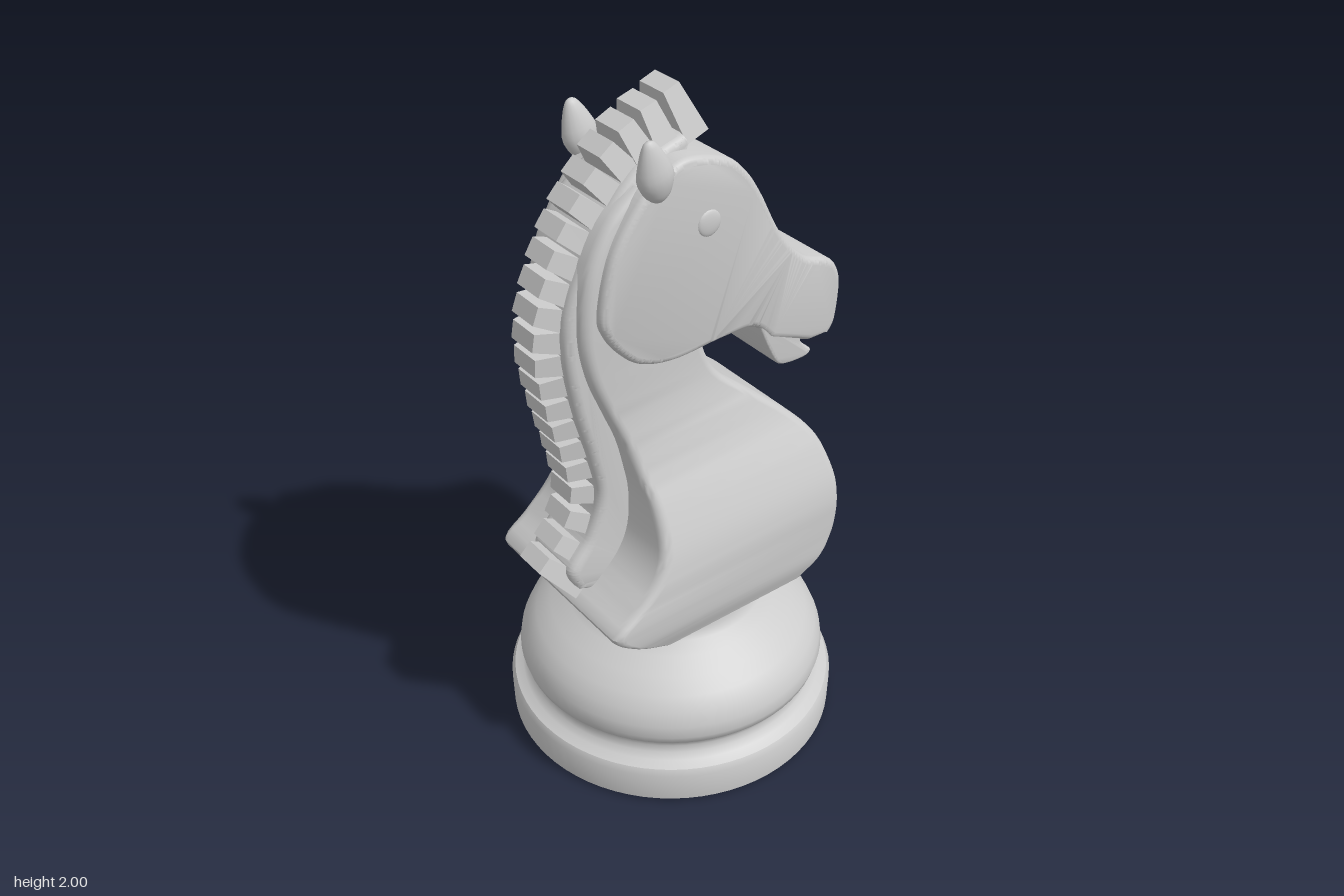
import * as THREE from 'three';
import { toCreasedNormals } from 'three/addons/utils/BufferGeometryUtils.js';

const material = new THREE.MeshStandardMaterial({ color: 0xcccccc });
const v2 = ([x, y]) => new THREE.Vector2(x, y);

function addMesh(parent, name, geometry) {
  const mesh = new THREE.Mesh(geometry, material);
  mesh.name = name;
  parent.add(mesh);
  return mesh;
}

// Rounded slab: side outline in x/y, centred on z = 0
function slab(shape, halfWidth, bevel) {
  const geometry = new THREE.ExtrudeGeometry(shape, {
    depth: 2 * (halfWidth - bevel), curveSegments: 48,
    bevelThickness: bevel, bevelSize: bevel, bevelOffset: -bevel, bevelSegments: 4,
  });
  geometry.translate(0, 0, bevel - halfWidth);
  return toCreasedNormals(geometry, 0.7);
}

// Rounded rectangle ring in the x/z plane
function ring(back, front, half, y, radius) {
  const points = [];
  const corners = [[front, half], [back, half], [back, -half], [front, -half]];
  corners.forEach(([x, z], c) => {
    const cx = x + (x === front ? -radius : radius);
    const cz = z - Math.sign(z) * radius;
    for (let i = 0; i <= 5; i++) {
      const a = (c + i / 5) * Math.PI / 2;
      points.push([cx + radius * Math.cos(a), y, cz + radius * Math.sin(a)]);
    }
  });
  return points;
}

// Skin over rings listed from bottom to top, closed at both ends
function loft(rings) {
  const close = (r) => {
    const x = (Math.min(...r.map((p) => p[0])) + Math.max(...r.map((p) => p[0]))) / 2;
    return r.map((p) => [x, p[1], 0]);
  };
  const rows = [close(rings[0]), ...rings, close(rings[rings.length - 1])];
  const n = rows[0].length;
  const index = [];
  for (let i = 0; i < rows.length - 1; i++) {
    for (let j = 0; j < n; j++) {
      const a = i * n + j, b = i * n + (j + 1) % n;
      index.push(a, a + n, b, b, a + n, b + n);
    }
  }
  const geometry = new THREE.BufferGeometry();
  geometry.setAttribute('position', new THREE.Float32BufferAttribute(rows.flat(2), 3));
  geometry.setIndex(index);
  return toCreasedNormals(geometry, 0.7);
}

function buildBase(parent) {
  const profile = [[0, 0], [0.48, 0], [0.488, 0.008], [0.49, 0.1], [0.48, 0.118], [0.455, 0.13],
    [0.438, 0.145], [0.432, 0.165], [0.436, 0.182], [0.45, 0.195], [0.457, 0.22], [0.452, 0.255],
    [0.435, 0.295], [0.405, 0.33], [0.36, 0.365], [0.31, 0.395], [0.275, 0.42], [0.26, 0.445],
    [0.26, 0.49], [0, 0.49]];
  addMesh(parent, 'base', toCreasedNormals(new THREE.LatheGeometry(profile.map(v2), 72), 0.6));
}

// Chest and neck: height, back, front, half width
function buildNeck(parent) {
  const sections = [
    [0.48, -0.24, 0.28, 0.28], [0.53, -0.34, 0.345, 0.29], [0.59, -0.4, 0.38, 0.29],
    [0.65, -0.33, 0.395, 0.29], [0.72, -0.26, 0.398, 0.288], [0.8, -0.225, 0.393, 0.27],
    [0.91, -0.22, 0.36, 0.225], [1.0, -0.235, 0.285, 0.182], [1.1, -0.26, 0.17, 0.152],
    [1.2, -0.3, 0.06, 0.135], [1.32, -0.345, 0.01, 0.13], [1.45, -0.365, 0, 0.13],
    [1.6, -0.345, 0, 0.13], [1.72, -0.28, 0, 0.125], [1.8, -0.19, -0.02, 0.12]];
  const backs = new THREE.CatmullRomCurve3(
    sections.map(([y, b, , w]) => new THREE.Vector3(b, y, w)), false, 'catmullrom');
  const fronts = new THREE.CatmullRomCurve3(
    sections.map(([y, , f]) => new THREE.Vector3(f, y, 0)), false, 'catmullrom');
  const rings = [];
  for (let i = 0; i <= 56; i++) {
    const b = backs.getPoint(i / 56), f = fronts.getPoint(i / 56);
    rings.push(ring(b.x, f.x, b.z, b.y, 0.03));
  }
  addMesh(parent, 'neck', loft(rings));
}

function buildHead(parent) {
  const head = new THREE.Shape();
  head.moveTo(0.3, 1.215);
  head.lineTo(0.365, 1.19);
  head.lineTo(0.435, 1.19);
  head.splineThru([[0.458, 1.23], [0.467, 1.34], [0.448, 1.4], [0.41, 1.432], [0.33, 1.465],
    [0.245, 1.56], [0.175, 1.69], [0.125, 1.765], [0.06, 1.82], [-0.06, 1.852], [-0.14, 1.825],
    [-0.21, 1.77], [-0.29, 1.65], [-0.325, 1.51], [-0.31, 1.44], [-0.26, 1.37], [-0.2, 1.325],
    [-0.1, 1.302], [0.06, 1.31], [0.16, 1.305], [0.22, 1.25]].map(v2));
  addMesh(parent, 'head', slab(head, 0.157, 0.02));

  const lip = new THREE.Shape();
  lip.moveTo(0.18, 1.3);
  lip.splineThru([[0.215, 1.22], [0.25, 1.16], [0.29, 1.143], [0.355, 1.142], [0.374, 1.158],
    [0.355, 1.175], [0.335, 1.2], [0.335, 1.225]].map(v2));
  lip.lineTo(0.28, 1.3);
  addMesh(parent, 'lowerLip', slab(lip, 0.152, 0.01));

  const earProfile = [[0, 0], [0.032, 0.025], [0.05, 0.075], [0.036, 0.13], [0.016, 0.17], [0, 0.178]];
  const earCurve = new THREE.SplineCurve(earProfile.map(v2)).getPoints(16);
  earCurve.forEach((p) => { p.x = Math.max(0, p.x); });
  for (const side of [-1, 1]) {
    const label = side > 0 ? 'left' : 'right';
    const ear = addMesh(parent, label + 'Ear', new THREE.LatheGeometry(earCurve, 16));
    ear.position.set(-0.145, 1.76, side * 0.15);
    ear.rotation.set(side * 0.06, 0, 0.24);
    ear.scale.z = 0.7;
    const eye = addMesh(parent, label + 'Eye', new THREE.SphereGeometry(0.036, 20, 12));
    eye.position.set(0, 1.665, side * 0.156);
    eye.scale.z = 0.25;
  }
}

function buildMane(parent) {
  // Spine that carries the tufts
  const spine = new THREE.Shape();
  spine.moveTo(-0.03, 1.885);
  spine.splineThru([[-0.17, 1.83], [-0.295, 1.69], [-0.38, 1.52], [-0.395, 1.38], [-0.37, 1.21],
    [-0.33, 1.05], [-0.31, 0.92], [-0.345, 0.8], [-0.41, 0.71], [-0.39, 0.64]].map(v2));
  spine.lineTo(-0.3, 0.6);
  spine.lineTo(-0.15, 0.6);
  spine.lineTo(-0.1, 1.0);
  spine.lineTo(-0.15, 1.5);
  spine.lineTo(-0.03, 1.8);
  addMesh(parent, 'maneSpine', slab(spine, 0.1, 0.025));

  // Tapered tufts follow the back of the neck
  const tuft = new THREE.BoxGeometry(0.069, 0.13, 0.19);
  const p = tuft.attributes.position;
  for (let i = 0; i < p.count; i++) {
    if (p.getY(i) > 0) {
      p.setX(i, p.getX(i) * 0.72);
      p.setZ(i, p.getZ(i) * 0.5);
    }
  }
  tuft.translate(0, -0.065, 0);
  tuft.computeVertexNormals();
  const path = new THREE.SplineCurve([[-0.035, 1.99], [-0.2, 1.905], [-0.35, 1.73], [-0.44, 1.53],
    [-0.458, 1.38], [-0.432, 1.22], [-0.39, 1.05], [-0.37, 0.92], [-0.405, 0.81], [-0.465, 0.735]].map(v2));
  const mane = new THREE.Group();
  mane.name = 'mane';
  parent.add(mane);
  const count = 21;
  for (let i = 0; i < count; i++) {
    const point = path.getPointAt(i / (count - 1));
    const tangent = path.getTangentAt(i / (count - 1));
    const mesh = addMesh(mane, 'maneTuft', tuft);
    mesh.position.set(point.x, point.y, 0);
    mesh.rotation.z = Math.atan2(-tangent.y, -tangent.x) - 0.12;
  }
}

export function createModel() {
  const model = new THREE.Group();
  model.name = 'chessKnight';
  buildBase(model);
  // The horse is turned on its base
  const horse = new THREE.Group();
  horse.name = 'horse';
  horse.rotation.y = 0.64;
  model.add(horse);
  buildNeck(horse);
  buildHead(horse);
  buildMane(horse);
  return model;
}
